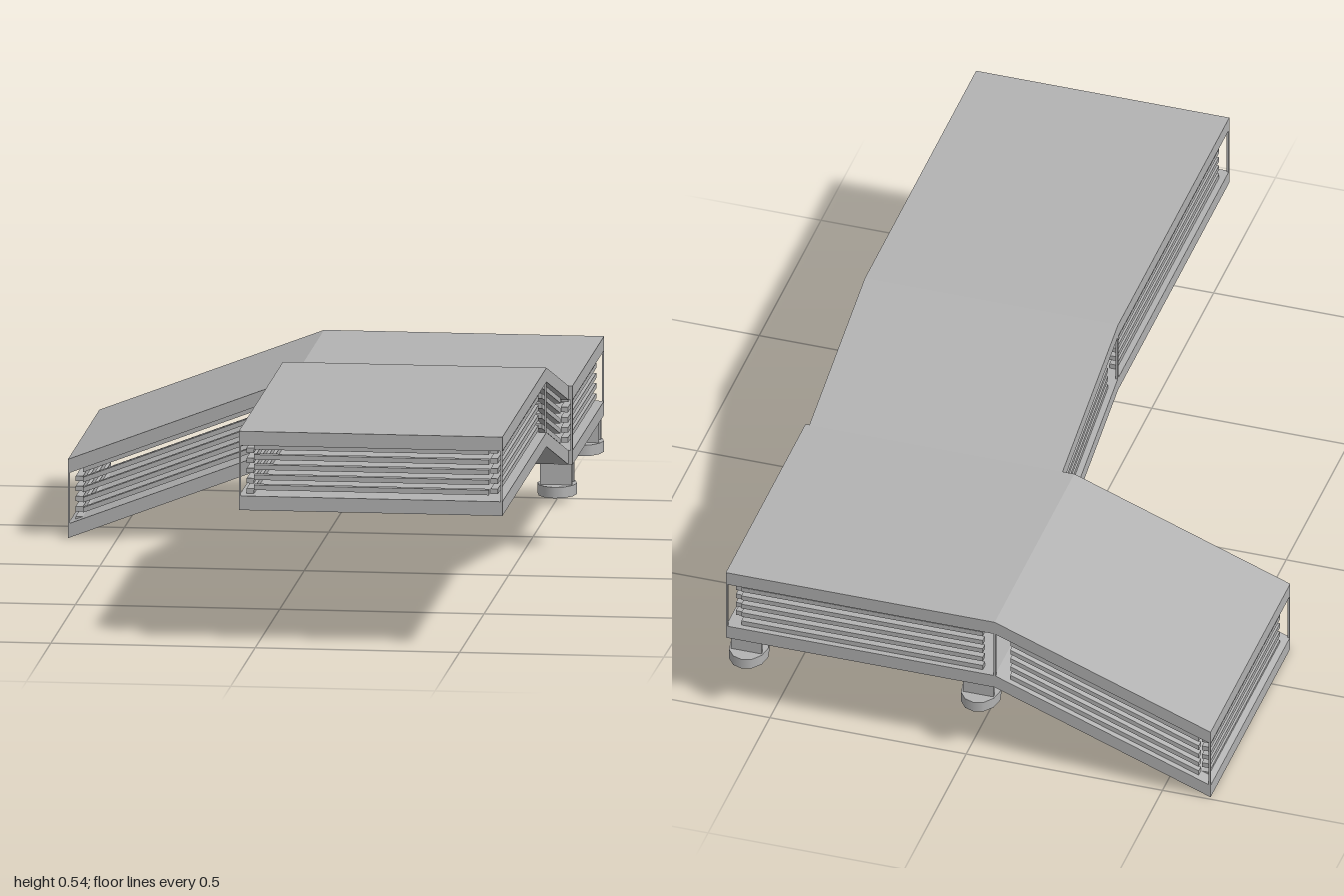
import * as THREE from 'three';

const grey = new THREE.MeshStandardMaterial({ color: 0xb2b2b2 });
grey.name = 'concrete grey';

const SLAB = 0.035, TOTAL = 0.195;       // slab thickness, floor underside to roof top
const X0 = -0.04, X1 = 0.605;            // corridor sides
const PX0 = -0.07, PX1 = 0.615;          // platform sides
const Z0 = -0.992, Z1 = -0.348;          // platform back and front
const PLAT = 0.21, HIGH = 0.34;          // floor heights

export function createModel() {
  const model = new THREE.Group();
  model.name = 'coveredWalkway';

  const add = (geo, name, parent = model) => {
    const m = new THREE.Mesh(geo, grey);
    m.name = name;
    parent.add(m);
    return m;
  };

  // Bent slab: a polyline [run, y] thickened upward and extruded sideways
  const slab = (path, lift, along, from, to, name) => {
    const s = along === 'z' ? -1 : 1;
    const low = path.map(([r, y]) => new THREE.Vector2(s * r, y + lift));
    const high = low.map(p => new THREE.Vector2(p.x, p.y + SLAB)).reverse();
    const geo = new THREE.ExtrudeGeometry(new THREE.Shape([...low, ...high]), {
      depth: to - from, bevelEnabled: false });
    geo.translate(0, 0, from);
    if (along === 'z') geo.rotateY(Math.PI / 2);
    add(geo, name);
  };

  const lowerPath = [[-0.62, 0], [PX0, PLAT], [PX1, PLAT]];
  const upperPath = [[Z1, PLAT], [0.1, HIGH], [1, HIGH]];
  slab(lowerPath, 0, 'x', Z0, Z1, 'platformFloor');
  slab(lowerPath, TOTAL - SLAB, 'x', Z0, Z1, 'platformRoof');
  slab(upperPath, 0, 'z', X0, X1, 'corridorFloor');
  slab(upperPath, TOTAL - SLAB, 'z', X0, X1, 'corridorRoof');

  // Louvred wall between two run positions; slats shear to follow a slope
  const N = 5, ZONE = TOTAL - 2 * SLAB, PITCH = ZONE / N, GAP = 0.035;
  const wall = (along, a, b, ya, yb, at, stagger, name) => {
    const g = new THREE.Group();
    g.name = name;
    const slope = (yb - ya) / (b - a), len = b - a - 2 * GAP;
    for (let i = 0; i < N; i++) {
      const geo = new THREE.BoxGeometry(len, PITCH / 2, 0.018);
      const p = geo.attributes.position;
      for (let k = 0; k < p.count; k++) p.setY(k, p.getY(k) + slope * p.getX(k));
      geo.computeVertexNormals();
      const y = (ya + yb) / 2 + SLAB + (i + (stagger ? 0.25 : 0.75)) * PITCH;
      if (along === 'z') geo.rotateY(-Math.PI / 2);
      const mid = (a + b) / 2;
      geo.translate(along === 'x' ? mid : at, y, along === 'x' ? at : mid);
      add(geo, 'slat', g);
    }
    model.add(g);
  };

  const IN = 0.024;   // slat inset from the slab edge
  wall('z', 0.1, 1, HIGH, HIGH, X1 - IN, false, 'corridorLeftLouvres');
  wall('z', 0.1, 1, HIGH, HIGH, X0 + IN, true, 'corridorRightLouvres');
  wall('x', X0, X1, HIGH, HIGH, 1 - IN, false, 'corridorEndLouvres');
  wall('z', Z1, 0.1, PLAT, HIGH, X1 - IN, false, 'upRampLeftLouvres');
  wall('z', Z1, 0.1, PLAT, HIGH, X0 + IN, true, 'upRampRightLouvres');
  wall('z', Z0, Z1, PLAT, PLAT, PX1 - IN, false, 'platformSideLouvres');
  wall('x', PX0, PX1, PLAT, PLAT, Z0 + IN, true, 'platformBackLouvres');
  wall('x', -0.62, PX0, 0, PLAT, Z1 - IN, false, 'downRampFrontLouvres');
  wall('x', -0.62, PX0, 0, PLAT, Z0 + IN, true, 'downRampBackLouvres');
  wall('z', Z0, Z1, 0, 0, -0.62 + IN, true, 'downRampEndLouvres');

  // Slim posts at corners and bends
  const T = 0.005, h = T / 2;
  const posts = [
    [X0 + h, 1 - h, HIGH], [X1 - h, 1 - h, HIGH],
    [X0 + h, 0.1, HIGH], [X1 - h, 0.1, HIGH],
    [X0 + h, Z1 - h, PLAT], [PX1 - h, Z1 - h, PLAT],
    [PX1 - h, Z0 + h, PLAT], [PX0, Z0 + h, PLAT], [PX0, Z1 - h, PLAT],
    [-0.62 + h, Z0 + h, 0], [-0.62 + h, Z1 - h, 0],
  ];
  for (const [x, z, y] of posts)
    add(new THREE.BoxGeometry(T, ZONE + 0.01, T), 'post').position.set(x, y + TOTAL / 2, z);

  // Support legs: twin plates on a wide rounded foot
  for (const x of [-0.018, 0.573]) for (const z of [-0.388, -0.935]) {
    const leg = new THREE.Group();
    leg.name = 'supportLeg';
    leg.position.set(x, 0, z);
    for (const s of [-1, 1])
      add(new THREE.BoxGeometry(0.078, 0.065, 0.008), 'legPlate', leg).position.set(0, 0.183, s * 0.022);
    const foot = add(new THREE.CylinderGeometry(0.5, 0.5, 0.027, 12).toNonIndexed(), 'foot', leg);
    foot.scale.set(0.096, 1, 0.125);
    foot.position.y = 0.1435;
    model.add(leg);
  }
  return model;
}
